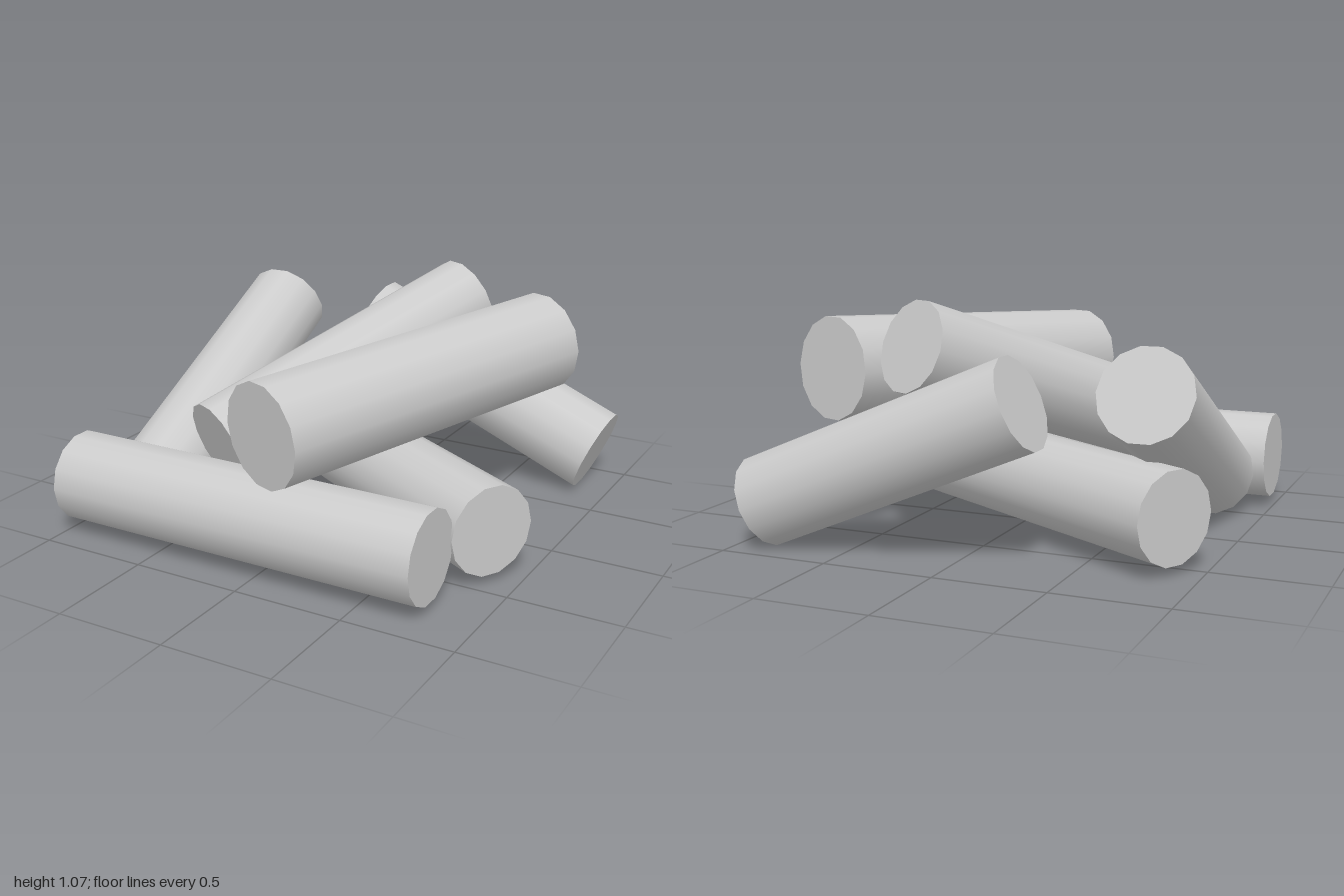
import * as THREE from 'three';

const SIDES = 14;
const material = new THREE.MeshStandardMaterial({ color: 0xcccccc });

// A log between the centres of its two end faces, one flat facet turned up
function makeLog(name, from, to, radius) {
  const a = new THREE.Vector3(...from);
  const b = new THREE.Vector3(...to);
  const axis = b.clone().sub(a);
  const geometry = new THREE.CylinderGeometry(radius, radius, axis.length(), SIDES);
  axis.normalize();
  const side = new THREE.Vector3(0, 1, 0).cross(axis).normalize();
  const up = axis.clone().cross(side);
  const log = new THREE.Mesh(geometry, material);
  log.name = name;
  log.quaternion.setFromRotationMatrix(new THREE.Matrix4().makeBasis(up, axis, side.clone()));
  log.position.copy(a).add(b).multiplyScalar(0.5);
  return log;
}

export function createModel() {
  const group = new THREE.Group();
  group.name = 'logPile';
  group.add(
    // logs lying flat on the ground
    makeLog('frontLog', [-0.98, 0.245, 0.763], [0.78, 0.245, 0.763], 0.203),
    makeLog('diagonalLog', [-0.89, 0.245, -0.61], [0.89, 0.245, 0.42], 0.202),
    // logs leaning on the others
    makeLog('backLog', [-0.305, 0.7, -0.795], [0.91, 0.19, -0.795], 0.205),
    makeLog('leftLog', [-0.787, 0.75, -0.695], [-0.74, 0.19, 0.505], 0.203),
    makeLog('middleLog', [0.234, 0.89, -0.7], [-0.38, 0.43, 0.545], 0.203),
    makeLog('topLog', [0.672, 0.762, -0.61], [0.088, 0.675, 0.913], 0.23),
  );
  return group;
}
